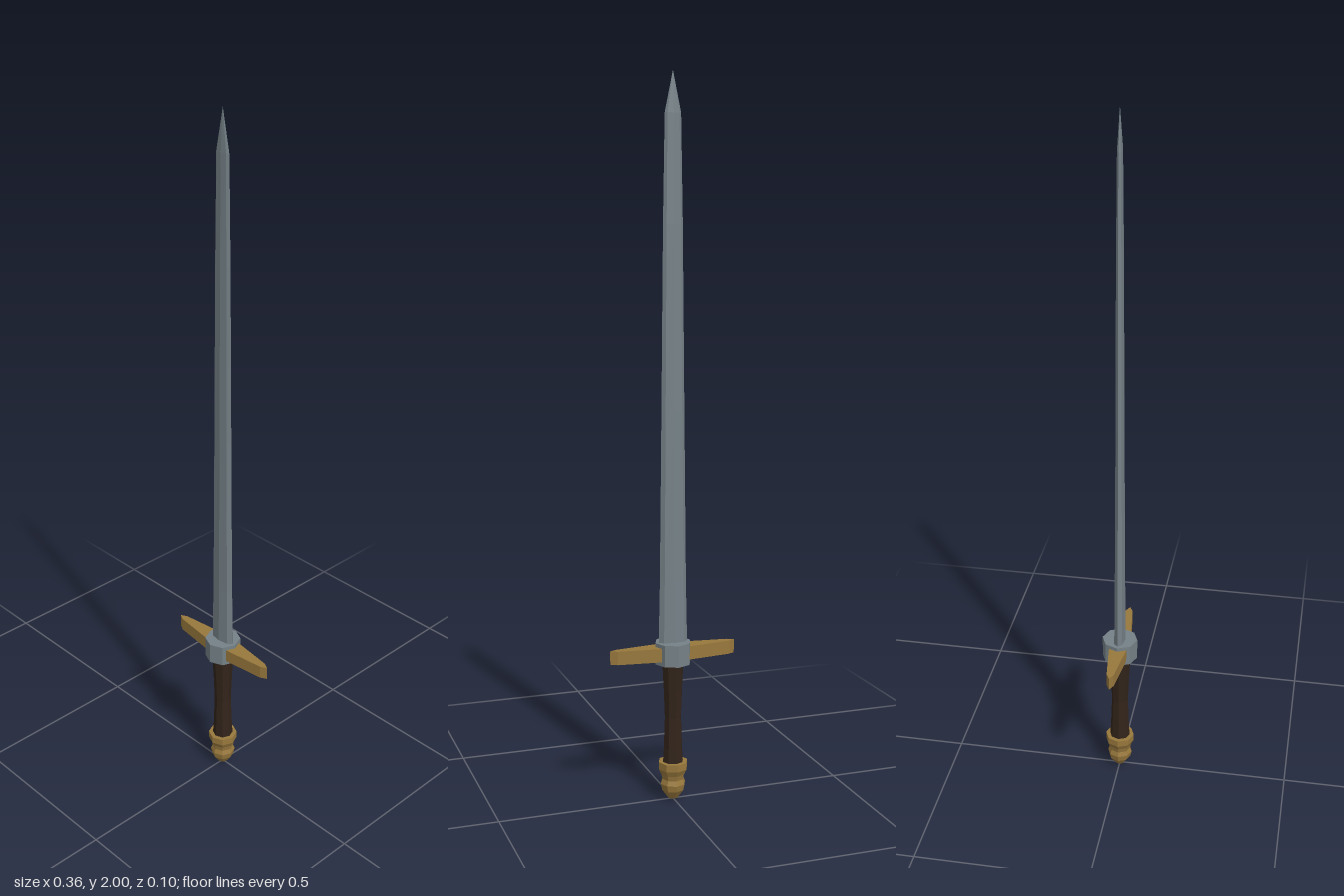
import * as THREE from 'three';

const flat = (name, color) => {
  const m = new THREE.MeshStandardMaterial({ color, flatShading: true });
  m.name = name;
  return m;
};

// Eight-sided turned part from [radius, y] pairs, bottom to top
function turned(profile) {
  return new THREE.LatheGeometry(profile.map(([r, y]) => new THREE.Vector2(r, y)), 8);
}

// Blade skinned over [y, halfWidth, halfThickness] sections, ending in a point
function bladeGeometry(sections, tipY) {
  const ring = [[1, 0], [0.72, 0.7], [0, 1], [-0.72, 0.7], [-1, 0], [-0.72, -0.7], [0, -1], [0.72, -0.7]];
  const n = ring.length;
  const positions = [];
  const index = [];
  for (const [y, w, t] of sections) {
    for (const [x, z] of ring) positions.push(x * w, y, z * t);
  }
  positions.push(0, tipY, 0);
  const tip = sections.length * n;
  for (let s = 0; s < sections.length; s++) {
    for (let i = 0; i < n; i++) {
      const a = s * n + i;
      const b = s * n + (i + 1) % n;
      if (s === sections.length - 1) index.push(a, tip, b);
      else index.push(a, a + n, b, b, a + n, b + n);
    }
  }
  const g = new THREE.BufferGeometry();
  g.setAttribute('position', new THREE.Float32BufferAttribute(positions, 3));
  g.setIndex(index);
  g.computeVertexNormals();
  return g;
}

export function createModel() {
  const steel = flat('steel', 0x758187);
  const brass = flat('brass', 0x98783d);
  const leather = flat('dark leather', 0x32241a);

  const group = new THREE.Group();
  group.name = 'sword';
  const add = (name, geometry, material) => {
    const mesh = new THREE.Mesh(geometry, material);
    mesh.name = name;
    group.add(mesh);
    return mesh;
  };

  // Tapering blade
  add('blade', bladeGeometry([
    [0.44, 0.042, 0.017],
    [0.63, 0.038, 0.015],
    [1.1, 0.033, 0.012],
    [1.6, 0.028, 0.01],
    [1.89, 0.023, 0.007],
  ], 2), steel);

  // Octagonal collar
  add('collar', turned([[0, 0.395], [0.051, 0.395], [0.051, 0.456], [0, 0.456]]), steel);

  // Crossguard arms, mirrored, narrowing to a blunt point
  for (const side of [1, -1]) {
    const outline = [[0.02, -0.028], [0.163, -0.01], [0.182, 0], [0.163, 0.01], [0.02, 0.028]];
    const shape = new THREE.Shape(outline.map(([x, z]) => new THREE.Vector2(x * side, z)));
    const arm = new THREE.ExtrudeGeometry(shape, { depth: 0.038, bevelEnabled: false });
    arm.rotateX(-Math.PI / 2);
    add(side > 0 ? 'leftGuardArm' : 'rightGuardArm', arm, brass).position.y = 0.407;
  }

  // Waisted grip
  add('grip', turned([[0.03, 0.1], [0.027, 0.15], [0.024, 0.24], [0.027, 0.32], [0.031, 0.395]]), leather);

  // Stepped pommel
  add('pommel', turned([
    [0, 0], [0.014, 0.003], [0.032, 0.028], [0.036, 0.046], [0.031, 0.06],
    [0.034, 0.074], [0.042, 0.09], [0.042, 0.11], [0, 0.11],
  ]), brass);

  return group;
}
